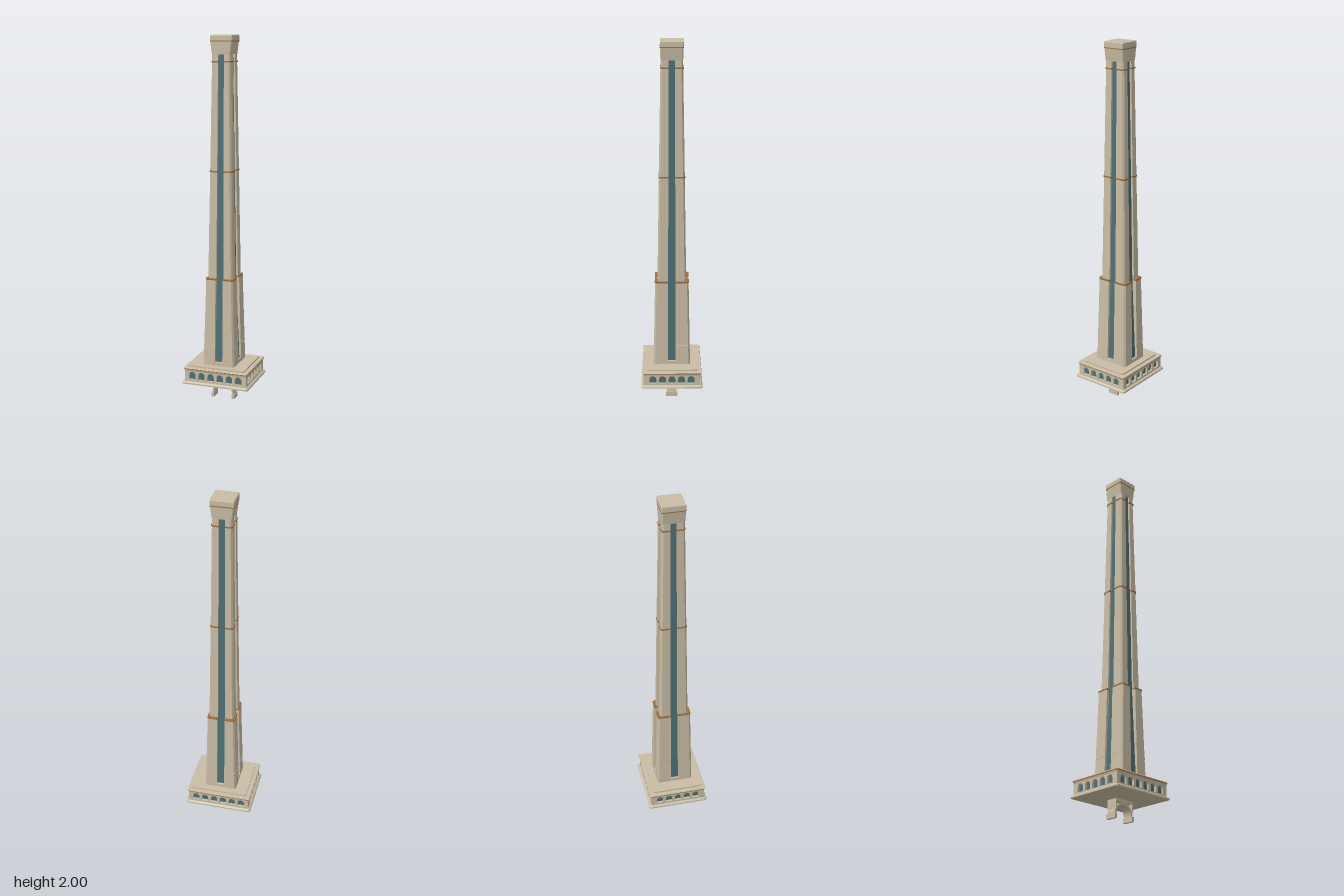
import * as THREE from 'three';

const mat = (name, color) => {
  const m = new THREE.MeshStandardMaterial({ color });
  m.name = name;
  return m;
};

// Solid lofted through rings of [x, z] points (counter-clockwise from above)
function loft(levels) {
  const pos = [], n = levels[0].ring.length;
  const put = (l, i) => pos.push(l.ring[i % n][0], l.y, l.ring[i % n][1]);
  for (let k = 0; k < levels.length - 1; k++) {
    const a = levels[k], b = levels[k + 1];
    for (let i = 0; i < n; i++) {
      put(a, i); put(a, i + 1); put(b, i + 1);
      put(a, i); put(b, i + 1); put(b, i);
    }
  }
  const lo = levels[0], hi = levels[levels.length - 1];
  for (let i = 1; i < n - 1; i++) {
    put(lo, 0); put(lo, i + 1); put(lo, i);
    put(hi, 0); put(hi, i); put(hi, i + 1);
  }
  const g = new THREE.BufferGeometry();
  g.setAttribute('position', new THREE.Float32BufferAttribute(pos, 3));
  g.computeVertexNormals();
  return g;
}

// Rectangle with cut corners
const octagon = (x, z, c) => [
  [-x + c, z], [x - c, z], [x, z - c], [x, -z + c],
  [x - c, -z], [-x + c, -z], [-x, -z + c], [-x, z - c]];

// Corner pier section, mirrored into the quadrant sx, sz
function pierRing(hx, hz, g, sx, sz, c = 0.009, d = 0.03) {
  const r = [[g, hz], [hx - c, hz], [hx, hz - c], [hx, g], [hx - d, g], [g, hz - d]]
    .map(([x, z]) => [x * sx, z * sz]);
  return sx * sz < 0 ? r.reverse() : r;
}

export function createModel() {
  const stone = mat('stone', 0xc9bda5);
  const bronze = mat('bronze', 0xa07040);
  const glass = mat('glass', 0x4e7076);
  const model = new THREE.Group();
  const add = (name, geo, m, parent = model) => {
    const mesh = new THREE.Mesh(geo, m);
    mesh.name = name;
    parent.add(mesh);
    return mesh;
  };
  // Slab list entry: [y, half x, half z]
  const slab = (name, m, c, ...rows) =>
    add(name, loft(rows.map(([y, x, z]) => ({ y, ring: octagon(x, z, c) }))), m);

  // Podium
  slab('podiumBase', stone, 0.008, [0.11, 0.19, 0.17], [0.118, 0.19, 0.17], [0.125, 0.182, 0.162]);
  slab('podiumGlass', glass, 0.003, [0.124, 0.164, 0.144], [0.19, 0.164, 0.144]);
  slab('podiumFrieze', stone, 0.004, [0.183, 0.177, 0.157], [0.193, 0.18, 0.16]);
  slab('podiumCornice', bronze, 0.006, [0.193, 0.182, 0.162], [0.198, 0.182, 0.162]);
  slab('podiumRoof', stone, 0.006, [0.198, 0.184, 0.164], [0.202, 0.182, 0.162]);
  slab('podiumStep', stone, 0.008, [0.2, 0.16, 0.14], [0.21, 0.16, 0.14]);

  // Arcade wall with arched openings
  function arcade(halfWidth, count) {
    const s = new THREE.Shape();
    s.moveTo(-halfWidth, 0.122).lineTo(halfWidth, 0.122);
    s.lineTo(halfWidth, 0.185).lineTo(-halfWidth, 0.185);
    for (let i = 0; i < count; i++) {
      const x = (i - (count - 1) / 2) * 0.053, r = 0.019;
      const h = new THREE.Path();
      h.moveTo(x - r, 0.135).lineTo(x - r, 0.16);
      h.absarc(x, 0.16, r, Math.PI, 0, true);
      h.lineTo(x + r, 0.135);
      s.holes.push(h);
    }
    return new THREE.ExtrudeGeometry(s, { depth: 0.013, bevelEnabled: false, curveSegments: 8 });
  }
  for (let k = 0; k < 4; k++) {
    const side = new THREE.Group();
    side.name = 'podiumSide';
    side.rotation.y = k * Math.PI / 2;
    const front = k % 2 === 0;
    const wall = add('arcade', front ? arcade(0.177, 6) : arcade(0.157, 5), stone, side);
    wall.position.z = (front ? 0.157 : 0.177) - 0.013;
    model.add(side);
  }

  // Recessed glass core
  const core = [[0.21, 0.08, 0.09], [0.7, 0.06, 0.068], [1.9, 0.042, 0.047]];
  slab('glassCore', glass, 0.002, ...core);

  // Corner piers in three tapering tiers: [y0, hx, hz, y1, hx, hz]
  const groove = y => 0.022 - 0.006 * (y - 0.21) / 1.7;
  const tiers = [
    [0.21, 0.09, 0.102, 0.695, 0.077, 0.092],
    [0.695, 0.07, 0.079, 1.28, 0.061, 0.069],
    [1.28, 0.061, 0.069, 1.91, 0.052, 0.058]];
  // Thin bands around the piers: [y, hx, hz, thickness, material]
  const bands = [
    [0.318, 0.0885, 0.101, 0.004, stone],
    [0.692, 0.0785, 0.0935, 0.008, bronze],
    [1.28, 0.0635, 0.0715, 0.008, bronze],
    [1.858, 0.0555, 0.0615, 0.007, bronze]];
  for (const sx of [1, -1]) for (const sz of [1, -1]) {
    const pier = new THREE.Group();
    pier.name = 'cornerPier';
    for (const [y0, x0, z0, y1, x1, z1] of tiers)
      add('pierTier', loft([
        { y: y0, ring: pierRing(x0, z0, groove(y0), sx, sz) },
        { y: y1, ring: pierRing(x1, z1, groove(y1), sx, sz) }]), stone, pier);
    for (const [y, x, z, t, m] of bands) {
      const ring = pierRing(x, z, groove(y) - 0.0005, sx, sz, 0.009, 0.02);
      add('pierBand', loft([{ y: y, ring }, { y: y + t, ring }]), m, pier);
    }
    model.add(pier);
  }

  // Sills at the foot of the glass grooves
  slab('grooveSill', stone, 0.012, [0.208, 0.0895, 0.1015], [0.23, 0.0889, 0.101]);

  // Flared crown
  slab('crownFlare', stone, 0.005, [1.9, 0.052, 0.058], [1.915, 0.054, 0.059], [1.965, 0.06, 0.06]);
  slab('crownBand', bronze, 0.005, [1.965, 0.0625, 0.0615], [1.97, 0.0625, 0.0615]);
  slab('crownCap', stone, 0.004, [1.97, 0.062, 0.061], [1.996, 0.062, 0.061], [2, 0.06, 0.059]);

  // Entrance arch below the podium
  const arch = new THREE.Shape();
  arch.moveTo(0.066, 0).lineTo(0.066, 0.025);
  arch.absarc(0, 0.025, 0.063, 0, Math.PI, false);
  arch.lineTo(-0.066, 0).lineTo(-0.053, 0).lineTo(-0.053, 0.025);
  arch.absarc(0, 0.025, 0.053, Math.PI, 0, true);
  arch.lineTo(0.053, 0);
  const gate = new THREE.Group();
  gate.name = 'entranceArch';
  model.add(gate);
  add('archRing', new THREE.ExtrudeGeometry(arch, { depth: 0.052, bevelEnabled: false, curveSegments: 16 }),
    stone, gate).position.z = -0.026;
  add('archLintel', new THREE.BoxGeometry(0.118, 0.012, 0.064), stone, gate).position.y = 0.094;
  for (const s of [1, -1]) {
    add('archPost', new THREE.BoxGeometry(0.005, 0.045, 0.064), stone, gate).position.set(s * 0.0565, 0.07, 0);
    add('archFoot', new THREE.BoxGeometry(0.015, 0.025, 0.064), stone, gate).position.set(s * 0.0595, 0.0125, 0);
  }
  return model;
}
